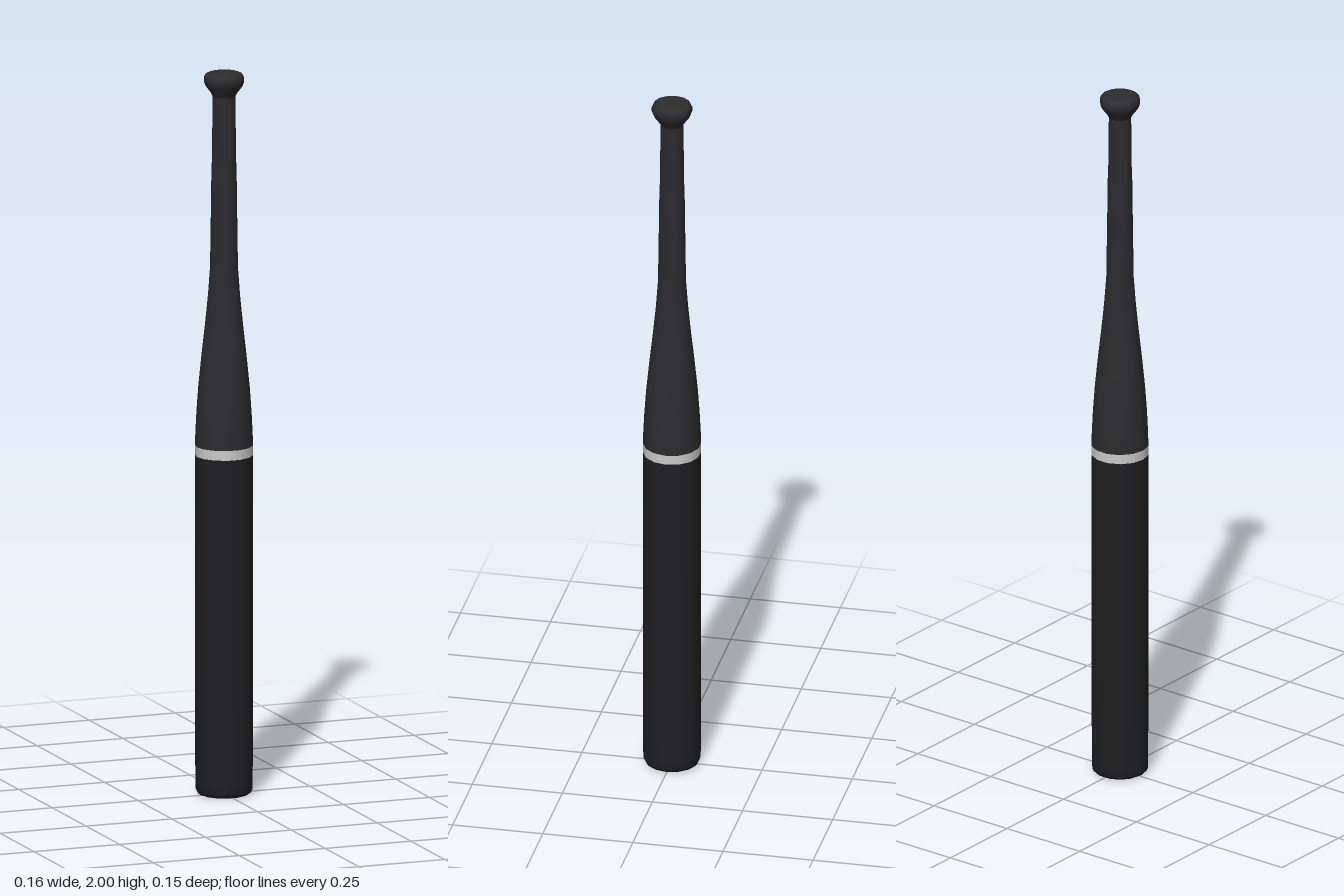
import * as THREE from 'three';

const SIDES = 14;

// One revolved part from [radius, height] pairs, listed bottom to top
function revolve(name, color, profile) {
  const points = profile.map(([r, y]) => new THREE.Vector2(r, y));
  const geometry = new THREE.LatheGeometry(points, SIDES);
  geometry.rotateY(Math.PI / 2); // puts a corner on the x axis
  const mesh = new THREE.Mesh(geometry, new THREE.MeshStandardMaterial({ color }));
  mesh.name = name;
  return mesh;
}

export function createModel() {
  const bat = new THREE.Group();
  bat.name = 'bat';

  const black = 0x202022;
  const charcoal = 0x2c2c2e;

  bat.add(
    // Rounded end of the barrel, closed underneath
    revolve('endCap', black, [
      [0, 0], [0.066, 0], [0.066, 0], [0.073, 0.004], [0.077, 0.013], [0.078, 0.03],
    ]),
    // Straight barrel
    revolve('barrel', black, [[0.078, 0.03], [0.079, 0.3], [0.079, 0.94]]),
    // Pale ring at the top of the barrel
    revolve('band', 0xcccccc, [[0.079, 0.94], [0.079, 0.967]]),
    // Taper from the barrel into the handle
    revolve('taper', charcoal, [
      [0.079, 0.967], [0.078, 1.0], [0.075, 1.06], [0.07, 1.13], [0.061, 1.22],
      [0.052, 1.3], [0.044, 1.38], [0.038, 1.46],
    ]),
    // Handle with a small step where the grip begins
    revolve('handle', charcoal, [[0.038, 1.46], [0.036, 1.6], [0.034, 1.75], [0.031, 1.75]]),
    revolve('grip', charcoal, [[0.033, 1.75], [0.031, 1.935]]),
    // Flared knob, closed on top
    revolve('knob', charcoal, [
      [0.031, 1.935], [0.036, 1.945], [0.05, 1.963], [0.055, 1.976], [0.055, 1.988],
      [0.051, 1.996], [0.043, 2.0], [0.043, 2.0], [0, 2.0],
    ]),
  );

  return bat;
}
